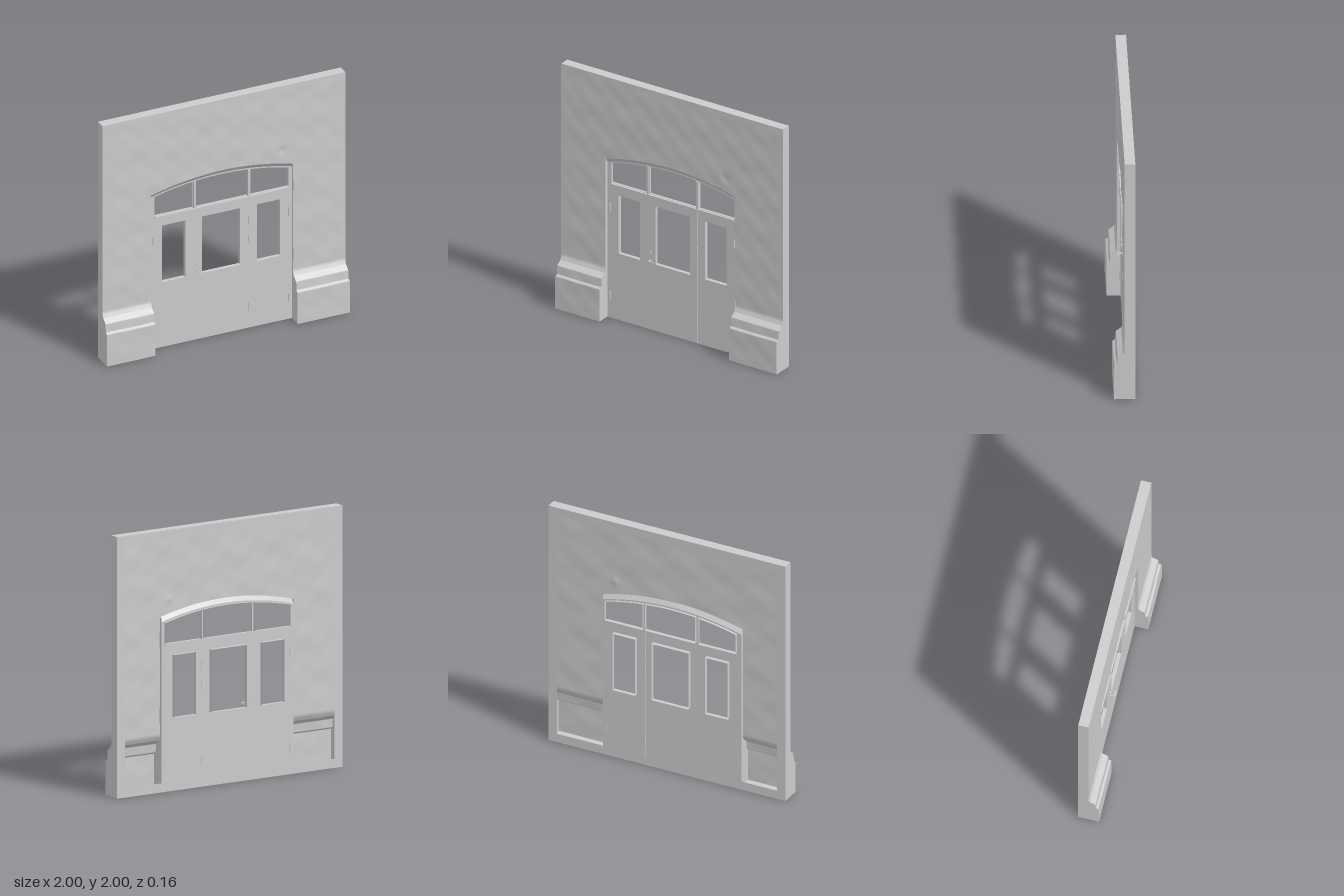
import * as THREE from 'three';
import { ParametricGeometry } from 'three/addons/geometries/ParametricGeometry.js';

const BACK = -0.08, DOOR = -0.025;
const LEFT = -0.6, RIGHT = 0.57;
const mat = new THREE.MeshStandardMaterial({ color: 0xcccccc, side: THREE.DoubleSide });

// Wall cross-section as [y, z]: stepped plinth, then plain wall
const PROFILE = [[0, 0.08], [0.26, 0.08], [0.275, 0.057], [0.345, 0.052], [0.375, 0.012], [0.4, 0], [2, 0]];

function profileZ(y) {
  for (let i = 1; i < PROFILE.length; i++) {
    const [y0, z0] = PROFILE[i - 1], [y1, z1] = PROFILE[i];
    if (y <= y1) return z0 + (z1 - z0) * (y - y0) / (y1 - y0);
  }
  return 0;
}

// Gentle unevenness of the plaster, fading to nothing at the outer border
function plaster(x, y) {
  const edge = Math.min(1, (1 - Math.abs(x)) * 12, (2 - y) * 12, y * 12);
  const waves = Math.sin(9 * x + 5 * y) * Math.sin(17 * y - 4 * x) + 0.6 * Math.sin(23 * x + 2) * Math.sin(31 * y + 7 * x);
  const chip = Math.exp(-((x - 0.48) ** 2 + (y - 1.45) ** 2) / 0.0009);
  return Math.max(0, edge) * (0.002 * waves - 0.006 * chip);
}

// Segmental arch over the opening
const arch = x => 1.4 - 0.08 * ((x + 0.015) / 0.585) ** 2;
const innerArch = x => arch(x) - 0.033;
const glassArch = x => 1.355 - 0.07 * ((x + 0.015) / 0.55) ** 2;

function add(group, name, geometry, x = 0, y = 0, z = 0) {
  const mesh = new THREE.Mesh(geometry, mat);
  mesh.name = name;
  mesh.position.set(x, y, z);
  group.add(mesh);
  return mesh;
}

function box(group, name, w, h, d, x, y, z) {
  return add(group, name, new THREE.BoxGeometry(w, h, d), x, y, z);
}

// Points of an opening whose top edge follows a function of x
function opening(x0, x1, y0, top) {
  const pts = [new THREE.Vector2(x0, y0), new THREE.Vector2(x1, y0)];
  const n = 16;
  for (let i = 0; i <= n; i++) {
    const x = x1 + (x0 - x1) * i / n;
    pts.push(new THREE.Vector2(x, top(x)));
  }
  return pts;
}

// Upright sheet at constant x, bounded by the wall profile
function sideSheet(group, name, x, top, backZ) {
  const pts = PROFILE.filter(p => p[0] < top).map(([y, z]) => new THREE.Vector2(-z, y));
  pts.push(new THREE.Vector2(0, top), new THREE.Vector2(-backZ, top), new THREE.Vector2(-backZ, 0));
  const sheet = add(group, name, new THREE.ShapeGeometry(new THREE.Shape(pts)), x);
  sheet.rotation.y = Math.PI / 2;
}

// Horizontal sheet between two x and two z values
function flatSheet(group, name, x0, x1, z0, z1, y) {
  const g = new THREE.PlaneGeometry(x1 - x0, z1 - z0).rotateX(y > 1 ? -Math.PI / 2 : Math.PI / 2);
  add(group, name, g, (x0 + x1) / 2, y, (z0 + z1) / 2);
}

// Thin rim standing out behind the door around a pane opening
function rim(group, name, pts, depth) {
  const n = pts.length;
  const g = new ParametricGeometry((u, v, p) => {
    const t = Math.min(u * n, n - 1e-6), i = Math.floor(t), f = t - i;
    const a = pts[i], b = pts[(i + 1) % n];
    p.set(a.x + (b.x - a.x) * f, a.y + (b.y - a.y) * f, DOOR - depth * v);
  }, n, 1).toNonIndexed();
  g.computeVertexNormals();
  add(group, name, g);
}

export function createModel() {
  const model = new THREE.Group();
  model.name = 'wallWithDoorway';

  // Plastered wall beside the opening, with plinth
  for (const [name, x0, x1] of [['rightWall', -1, LEFT], ['leftWall', RIGHT, 1]]) {
    add(model, name, new ParametricGeometry((u, v, p) => {
      const x = x0 + (x1 - x0) * u;
      const y = v < 0.5 ? v * 0.8 : 0.4 + (v - 0.5) * 3.2;
      p.set(x, y, profileZ(y) + plaster(x, y));
    }, 24, 120));
    flatSheet(model, 'plinthFloor', x0, x1, BACK, 0.08, 0);
  }

  // Wall above the arch
  add(model, 'upperWall', new ParametricGeometry((u, v, p) => {
    const x = LEFT + (RIGHT - LEFT) * u;
    const y = arch(x) + (2 - arch(x)) * v;
    p.set(x, y, plaster(x, y));
  }, 64, 40));

  // Splayed soffit and jambs of the opening
  add(model, 'archSoffit', new ParametricGeometry((u, v, p) => {
    const x = LEFT + (RIGHT - LEFT) * u;
    p.set(x, innerArch(x) + (arch(x) - innerArch(x)) * v, DOOR * (1 - v) + plaster(x, arch(x)) * v);
  }, 64, 2));
  sideSheet(model, 'rightJamb', LEFT, arch(LEFT), DOOR);
  sideSheet(model, 'leftJamb', RIGHT, arch(RIGHT), DOOR);

  // Outer edges of the wall
  sideSheet(model, 'rightEdge', -1, 2, BACK);
  sideSheet(model, 'leftEdge', 1, 2, BACK);
  flatSheet(model, 'topEdge', -1, 1, BACK, 0, 2);
  flatSheet(model, 'threshold', LEFT, RIGHT, BACK, DOOR, 0);

  // Flat border around the hollow back
  const border = new THREE.Shape(opening(-1, 1, 0, () => 2));
  border.holes.push(new THREE.Path(opening(-0.93, 0.93, 0.07, () => 1.93)));
  add(model, 'backBorder', new THREE.ShapeGeometry(border).rotateY(Math.PI), 0, 0, BACK);

  // Door front with three panes and an arched fanlight
  const door = new THREE.Group();
  door.name = 'door';
  model.add(door);
  const panel = new THREE.Shape(opening(LEFT, RIGHT, 0, innerArch));
  const panes = [[-0.5, -0.307], [-0.168, 0.145], [0.282, 0.475]].map(([a, b]) => opening(a, b, 0.55, () => 1.03));
  const lights = [[-0.562, -0.246], [-0.22, 0.205], [0.226, 0.545]].map(([a, b]) => opening(a, b, 1.122, glassArch));
  for (const pts of [...panes, ...lights]) panel.holes.push(new THREE.Path(pts));
  add(door, 'doorPanel', new THREE.ShapeGeometry(panel), 0, 0, DOOR);
  panes.forEach(pts => rim(door, 'paneRim', pts, 0.03));
  lights.forEach(pts => rim(door, 'fanlightRim', pts, 0.02));

  // Transom rail and fanlight bars
  box(door, 'transomRail', 1.11, 0.014, 0.02, -0.008, 1.112, DOOR + 0.005);
  for (const x of [-0.233, 0.2155]) {
    box(door, 'fanlightBar', 0.018, 0.225, 0.016, x, 1.232, DOOR + 0.002);
  }

  // Hinges
  for (const [x, y] of [[-0.572, 0.915], [-0.572, 0.185], [0.545, 0.915], [0.545, 0.185],
    [0.214, 0.915], [0.214, 0.76], [0.214, 0.185]]) {
    add(door, 'hinge', new THREE.CylinderGeometry(0.006, 0.006, 0.07, 8), x, y, DOOR + 0.003);
  }

  // Joint between the leaves
  box(door, 'leafJoint', 0.003, 1.1, 0.003, 0.21, 0.552, DOOR);

  // Lever handle and lock
  box(door, 'lock', 0.02, 0.022, 0.012, -0.21, 0.64, DOOR + 0.004);
  const spindle = add(door, 'handleSpindle', new THREE.CylinderGeometry(0.006, 0.006, 0.04, 8), -0.208, 0.576, DOOR + 0.017);
  spindle.rotation.x = Math.PI / 2;
  box(door, 'handleLever', 0.055, 0.01, 0.009, -0.187, 0.575, DOOR + 0.034);

  return model;
}
